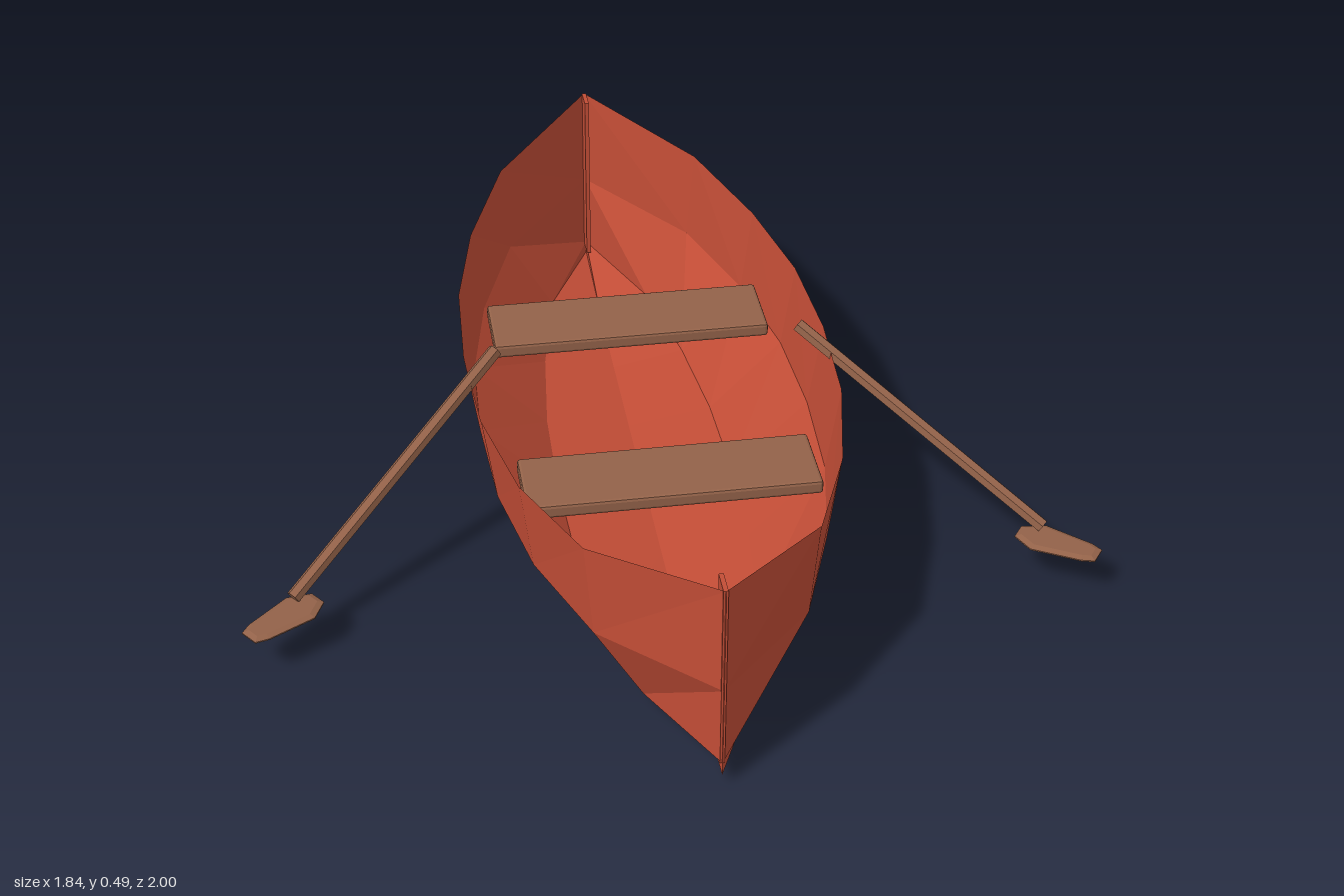
import * as THREE from 'three';
import { RoundedBoxGeometry } from 'three/addons/geometries/RoundedBoxGeometry.js';

export function createModel() {
  const boat = new THREE.Group();
  boat.name = 'rowingBoat';

  const red = new THREE.MeshStandardMaterial({ color: 0xc24d36, flatShading: true, side: THREE.DoubleSide });
  red.name = 'red paint';
  const wood = new THREE.MeshStandardMaterial({ color: 0x936249, flatShading: true });
  wood.name = 'brown wood';

  const add = (parent, name, geometry, material) => {
    const mesh = new THREE.Mesh(geometry, material);
    mesh.name = name;
    parent.add(mesh);
    return mesh;
  };

  // Hull: one cross-section per station, from the right gunwale round the keel to the left
  const halfWidths = [0.4, 0.387, 0.335, 0.237, 0];
  // width factor, height amidships, extra height at the ends
  const half = [[1, 0.4, 0.09], [0.925, 0.2, 0.045], [0.5, 0.033, 0.027]];
  const section = [
    ...half.map(([w, y, rise]) => [-w, y, rise]),
    [0, 0, 0.03],
    ...half.slice().reverse(),
  ];
  const cols = section.length;
  const positions = [];
  const index = [];
  for (let i = -4; i <= 4; i++) {
    const z = i / 4;
    for (const [w, y, rise] of section) {
      positions.push(w * halfWidths[Math.abs(i)], y + rise * z ** 4, z);
    }
  }
  for (let r = 0; r < 8; r++) {
    for (let c = 0; c < cols - 1; c++) {
      const a = r * cols + c, b = a + 1, d = a + cols, e = d + 1;
      index.push(a, b, d, b, e, d);
    }
  }
  const hull = new THREE.BufferGeometry();
  hull.setAttribute('position', new THREE.Float32BufferAttribute(positions, 3));
  hull.setIndex(index);
  const flatHull = hull.toNonIndexed();
  flatHull.computeVertexNormals();
  add(boat, 'hull', flatHull, red);

  // Thin posts inside the bow and stern
  for (const side of [1, -1]) {
    const post = add(boat, side > 0 ? 'bowPost' : 'sternPost', new THREE.BoxGeometry(0.01, 0.43, 0.054), red);
    post.position.set(0, 0.275, side * 0.972);
  }

  // Two bench seats
  for (const [name, z] of [['frontSeat', 0.34], ['rearSeat', -0.275]]) {
    const seat = add(boat, name, new RoundedBoxGeometry(0.63, 0.032, 0.18, 1, 0.007), wood);
    seat.position.set(0, 0.28, z);
  }

  // Oars: a sloping shaft and a flat six-sided blade
  const bladeOutline = [[-0.092, -0.02], [-0.092, 0.02], [-0.045, 0.047], [0.065, 0.033],
    [0.092, 0.022], [0.092, -0.022], [0.065, -0.033], [-0.045, -0.047]]
    .map(([x, y]) => new THREE.Vector2(x, y));
  const bladeGeometry = new THREE.ExtrudeGeometry(new THREE.Shape(bladeOutline.reverse()), {
    depth: 0.003, bevelEnabled: true, bevelThickness: 0.005, bevelSize: 0.012,
    bevelOffset: -0.012, bevelSegments: 1,
  });
  bladeGeometry.translate(0, 0, -0.0015);
  bladeGeometry.rotateX(-Math.PI / 2);

  for (const side of [1, -1]) {
    const oar = new THREE.Group();
    oar.name = side > 0 ? 'leftOar' : 'rightOar';
    boat.add(oar);

    const top = new THREE.Vector3(side * 0.333, 0.437, 0.04);
    const bottom = new THREE.Vector3(side * 0.808, 0.112, 0.418);
    const axis = top.clone().sub(bottom);
    const shaft = add(oar, 'shaft', new THREE.CylinderGeometry(0.016, 0.016, axis.length(), 6), wood);
    shaft.position.copy(top).add(bottom).multiplyScalar(0.5);
    shaft.quaternion.setFromUnitVectors(new THREE.Vector3(0, 1, 0), axis.normalize());

    const blade = add(oar, 'blade', bladeGeometry, wood);
    blade.position.set(side * 0.831, 0.095, 0.462);
    blade.rotation.y = side > 0 ? -0.64 : Math.PI + 0.64;
  }

  return boat;
}
